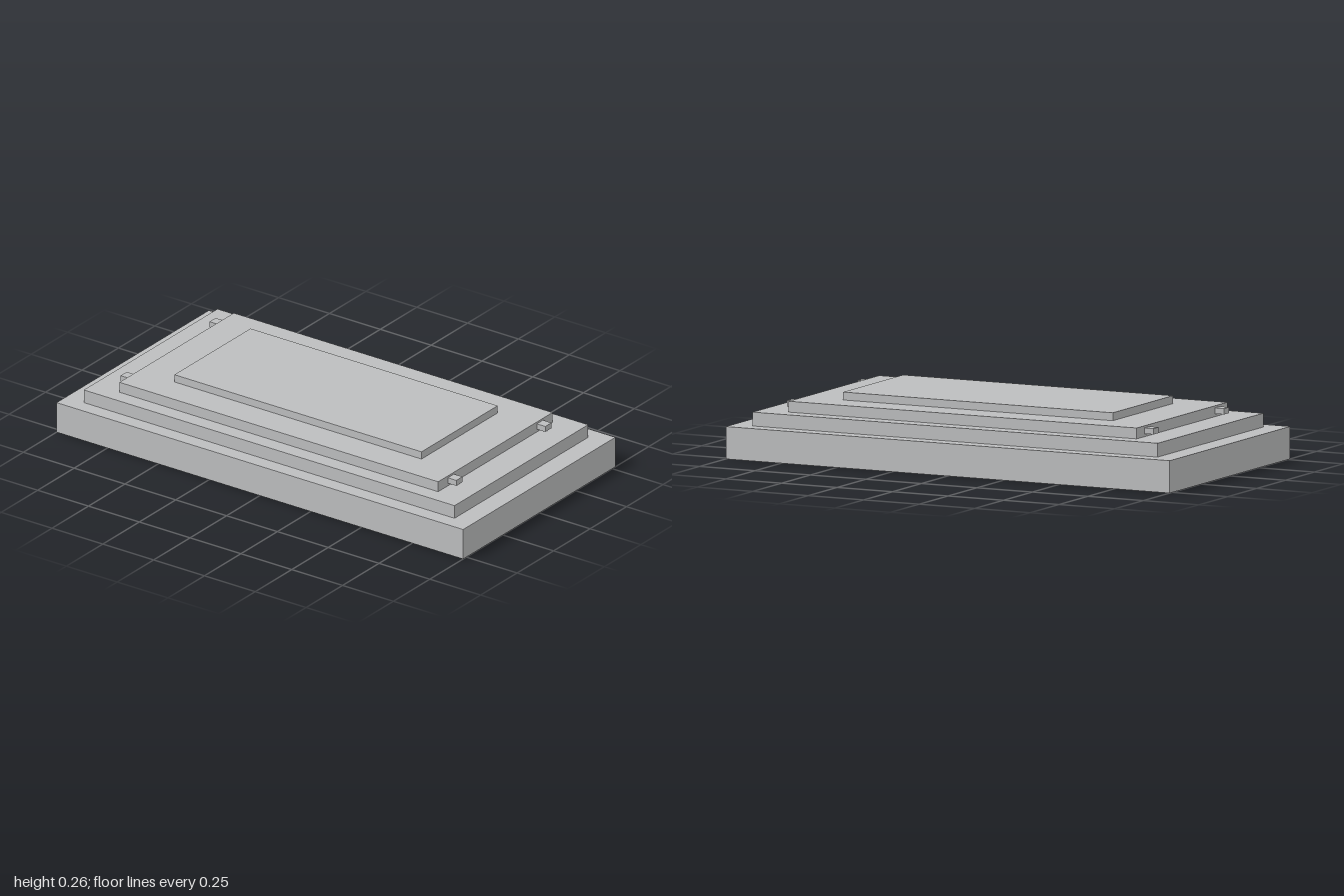
import * as THREE from 'three';

export function createModel() {
  const model = new THREE.Group();
  const grey = new THREE.MeshStandardMaterial({ name: 'plain grey', color: 0xbcbdbe });

  // Box given by its half width, bottom, top and half depth, centred on (x, z)
  function addBlock(name, halfX, bottom, top, halfZ, x = 0, z = 0) {
    const geometry = new THREE.BoxGeometry(halfX * 2, top - bottom, halfZ * 2);
    const mesh = new THREE.Mesh(geometry, grey);
    mesh.name = name;
    mesh.position.set(x, (bottom + top) / 2, z);
    model.add(mesh);
  }

  // Stepped slabs, from the ground up
  addBlock('base', 1, 0, 0.131, 0.522);
  addBlock('lowerStep', 0.912, 0.131, 0.187, 0.458);
  addBlock('upperStep', 0.784, 0.187, 0.231, 0.392);
  addBlock('topPanel', 0.608, 0.231, 0.263, 0.261);

  // Small tabs on both ends of the upper step
  for (const x of [-1, 1]) {
    for (const z of [-1, 1]) {
      const name = (x > 0 ? 'left' : 'right') + (z > 0 ? 'Front' : 'Back') + 'Tab';
      addBlock(name, 0.022, 0.199, 0.223, 0.021, x * 0.804, z * 0.305);
    }
  }
  return model;
}
